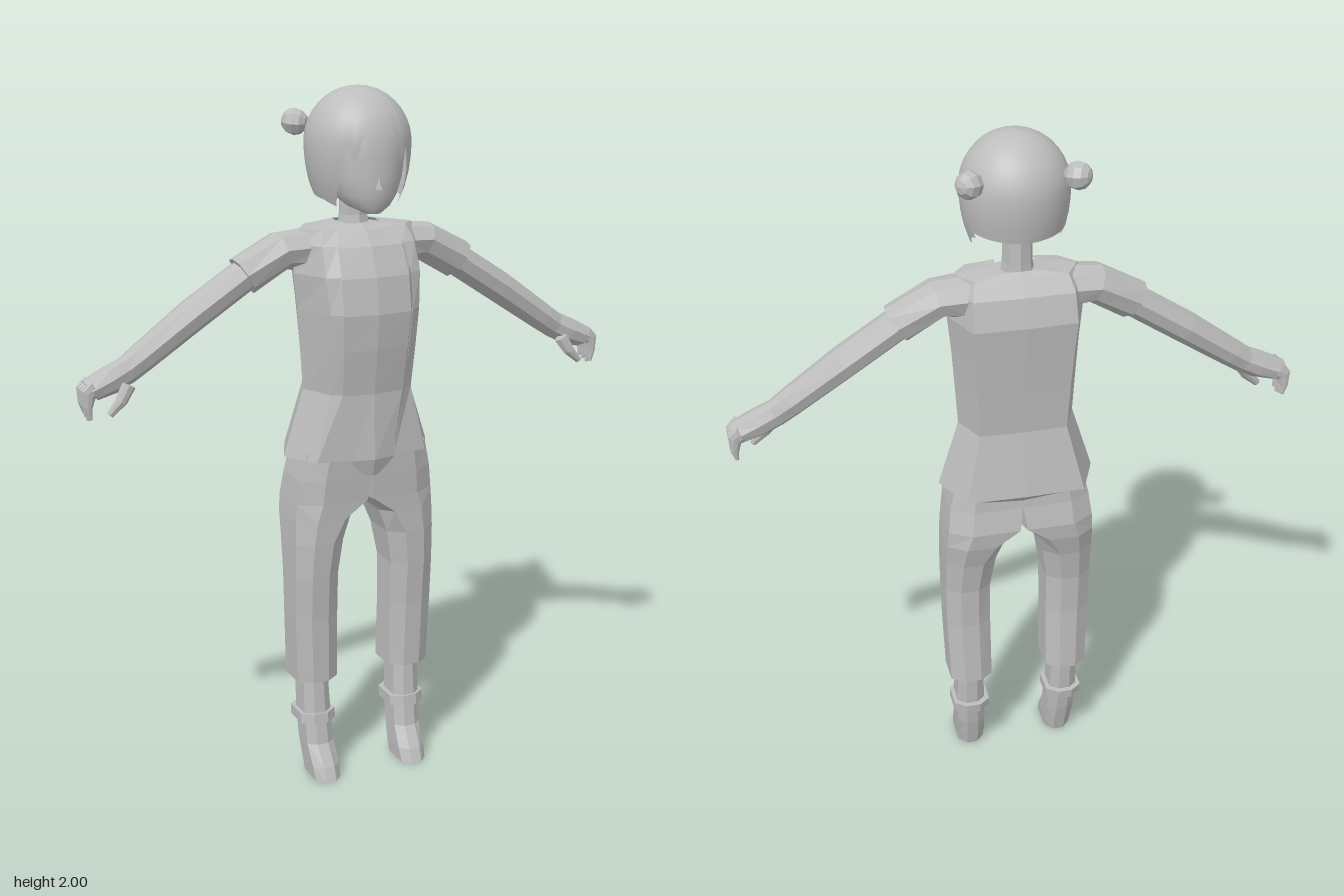
import * as THREE from 'three';

export function createModel() {
  const model = new THREE.Group();
  const grey = new THREE.MeshStandardMaterial({ color: 0xbdbdbd, side: THREE.DoubleSide });
  grey.name = 'plain grey';

  const add = (name, geometry, parent = model) => {
    const mesh = new THREE.Mesh(geometry, grey);
    mesh.name = name;
    parent.add(mesh);
    return mesh;
  };

  // Skin a list of equal-length point rings; faceted unless smooth.
  function loft(rings, { closed = true, caps = true, smooth = false } = {}) {
    const n = rings[0].length, pos = rings.flat(2), index = [];
    const spans = closed ? n : n - 1;
    for (let r = 0; r < rings.length - 1; r++) {
      for (let i = 0; i < spans; i++) {
        const a = r * n + i, b = r * n + (i + 1) % n;
        index.push(a, b + n, b, a, a + n, b + n);
      }
    }
    if (closed && caps) {
      const last = (rings.length - 1) * n;
      for (let i = 1; i < n - 1; i++) {
        index.push(0, i, i + 1, last, last + i + 1, last + i);
      }
    }
    const g = new THREE.BufferGeometry();
    g.setAttribute('position', new THREE.Float32BufferAttribute(pos, 3));
    g.setIndex(index);
    const out = smooth ? g : g.toNonIndexed();
    out.computeVertexNormals();
    return out;
  }

  // Mirror a half outline (front to back) into a whole one.
  const mirrorHalf = (half, y, open) => {
    const left = half.map(([x, z]) => [x, y, z]);
    const right = half.map(([x, z]) => [-x, y, z]).reverse();
    return open ? [...left, ...right.slice(1)] : [...left, ...right.slice(1, -1)];
  };

  // Jacket rows: y, front opening, half width, front z, back z
  const jacketRows = [
    [0.98, 0.06, 0.225, 0.115, -0.145], [1.17, 0.095, 0.165, 0.11, -0.11],
    [1.3, 0.1, 0.173, 0.13, -0.12], [1.4, 0.105, 0.18, 0.14, -0.13],
    [1.5, 0.105, 0.19, 0.125, -0.14], [1.58, 0.1, 0.185, 0.09, -0.12],
    [1.622, 0.08, 0.17, 0.05, -0.085], [1.635, 0.05, 0.06, 0.03, -0.07],
  ];
  add('jacket', loft(jacketRows.map(([y, e, w, zf, zb]) => mirrorHalf(
    [[e, zf - 0.003], [Math.max(e, 0.75 * w), zf * 0.82], [w, -0.01], [0.75 * w, zb * 0.97], [0, zb]],
    y, true)), { closed: false }));

  // Shirt under the open jacket
  const shirtRows = [[0.93, 0.06, 0.2, 0.1, -0.1], ...jacketRows];
  add('shirt', loft(shirtRows.map(([y, e, w, zf, zb]) => mirrorHalf(
    [[0, zf], [e, zf - 0.014], [0.72 * w, zf * 0.6], [0.85 * w, -0.01], [0.65 * w, zb * 0.8], [0, zb * 0.88]],
    y - 0.006, false))));

  // Horizontal eight-sided section between inner and outer x
  const band = (s, y, xi, xo, zf, zb, ci = 0.3) => {
    const d = xo - xi, zm = (zf + zb) / 2, k = 0.62;
    const mix = (z) => zm + (z - zm) * k;
    const ki = ci ? mix : (z) => z;
    return [
      [xo, mix(zf)], [xo - 0.3 * d, zf], [xi + ci * d, zf], [xi, ki(zf)],
      [xi, ki(zb)], [xi + ci * d, zb], [xo - 0.3 * d, zb], [xo, mix(zb)],
    ].map(([x, z]) => [s * x, y, z]);
  };

  // Arm section from a top and a bottom point, with its z range
  const slice = (s, [xt, yt, xb, yb, zf, zb]) => {
    const p = [[0, 0.5], [0.08, 0.83], [0.4, 1], [0.75, 0.9], [1, 0.5], [0.75, 0.1], [0.4, 0], [0.08, 0.17]];
    return p.map(([t, u]) => [s * (xt + (xb - xt) * t), yt + (yb - yt) * t, zb + (zf - zb) * u]);
  };
  const limb = (s, rows) => loft(rows.map((r) => slice(s, r)));

  for (const s of [1, -1]) {
    const side = s > 0 ? 'left' : 'right';

    // Trouser leg, joined to its mirror at x = 0 above the crotch
    add(side + 'TrouserLeg', loft([
      [1.0, 0, 0.185, 0.1, -0.1, 0], [0.92, 0, 0.203, 0.095, -0.105, 0],
      [0.85, 0, 0.212, 0.09, -0.118, 0.05], [0.8, 0.045, 0.216, 0.088, -0.112, 0.2],
      [0.73, 0.07, 0.218, 0.086, -0.092], [0.63, 0.086, 0.218, 0.08, -0.075],
      [0.5, 0.086, 0.217, 0.07, -0.07], [0.3, 0.085, 0.21, 0.065, -0.08],
    ].map((r) => band(s, ...r))));

    // Shin and boot
    add(side + 'Boot', loft([
      [0.34, 0.11, 0.185, 0.04, -0.06], [0.2, 0.105, 0.188, 0.052, -0.052],
      [0.1, 0.102, 0.186, 0.066, -0.036], [0.04, 0.1, 0.183, 0.105, -0.022],
      [0, 0.102, 0.18, 0.122, -0.012],
    ].map((r) => band(s, ...r))));
    add(side + 'AnkleCuff', loft([
      [0.195, 0.092, 0.2, 0.058, -0.068], [0.165, 0.092, 0.2, 0.062, -0.064],
    ].map((r) => band(s, ...r))));

    // Sleeve, bare arm and hand
    add(side + 'Sleeve', limb(s, [
      [0.1, 1.625, 0.15, 1.5, 0.045, -0.1], [0.235, 1.612, 0.2, 1.508, 0.038, -0.095],
      [0.36, 1.548, 0.3, 1.45, 0.028, -0.085],
    ]));
    add(side + 'Arm', limb(s, [
      [0.34, 1.545, 0.29, 1.468, 0.02, -0.08], [0.5, 1.443, 0.45, 1.365, 0.02, -0.082],
      [0.645, 1.337, 0.6, 1.268, 0.014, -0.07], [0.69, 1.303, 0.65, 1.237, 0.008, -0.062],
    ]));
    const hand = new THREE.Group();
    hand.name = side + 'Hand';
    model.add(hand);
    add('palm', limb(s, [
      [0.68, 1.31, 0.64, 1.243, 0.008, -0.062], [0.73, 1.287, 0.695, 1.215, 0.014, -0.065],
      [0.79, 1.256, 0.75, 1.2, 0.014, -0.066],
    ]), hand);
    for (let i = 0; i < 4; i++) {
      const z = 0.012 - i * 0.02, tip = 1.15 + Math.abs(i - 1) * 0.006;
      add('finger', limb(s, [
        [0.775, 1.262, 0.755, 1.215, z, z - 0.018], [0.8, 1.236, 0.766, 1.212, z, z - 0.018],
        [0.797, 1.192, 0.774, 1.188, z - 0.001, z - 0.016], [0.786, tip, 0.776, tip, z - 0.004, z - 0.013],
      ]), hand);
    }
    add('thumb', limb(s, [
      [0.69, 1.25, 0.655, 1.23, 0.02, -0.012], [0.715, 1.205, 0.683, 1.192, 0.026, 0],
      [0.74, 1.172, 0.725, 1.16, 0.024, 0.008],
    ]), hand);

    // Hair bun, pole turned outward
    const bun = add(side + 'HairBun', new THREE.SphereGeometry(0.038, 8, 6).toNonIndexed());
    bun.geometry.computeVertexNormals();
    bun.position.set(s * 0.142, 1.9, -0.102);
    bun.quaternion.setFromUnitVectors(new THREE.Vector3(0, 1, 0), new THREE.Vector3(s * 0.8, 0.1, -0.6).normalize());
  }

  // Neck leaning into the head
  const oval = (n, y, w, zf, zb) => Array.from({ length: n }, (_, i) => {
    const a = (i / n) * Math.PI * 2;
    return [w * Math.sin(a), y, (zf + zb) / 2 + (zf - zb) / 2 * Math.cos(a)];
  });
  add('neck', loft([[1.57, 0.055, 0.025, -0.075], [1.65, 0.042, 0.012, -0.07], [1.76, 0.04, 0.015, -0.068]]
    .map((r) => oval(8, ...r))));

  // Head with a pointed chin
  add('head', loft([
    [1.667, 0.022, 0.118, 0.075], [1.685, 0.058, 0.128, 0.01], [1.715, 0.088, 0.136, -0.05],
    [1.76, 0.112, 0.138, -0.1], [1.82, 0.128, 0.134, -0.128], [1.88, 0.13, 0.128, -0.13], [1.94, 0.1, 0.1, -0.1],
  ].map((r) => oval(20, ...r)), { smooth: true }));
  const nose = add('nose', new THREE.ConeGeometry(0.013, 0.035, 4));
  nose.position.set(0, 1.752, 0.138);

  // Hair cap: hem height against angle from the front
  const hem = [[0, 1.885], [20, 1.87], [28, 1.8], [36, 1.84], [44, 1.78], [56, 1.685],
    [76, 1.702], [100, 1.71], [112, 1.752], [140, 1.745], [180, 1.74]];
  const hemAt = (deg) => {
    const k = Math.max(1, hem.findIndex(([d]) => d >= deg));
    const [d0, y0] = hem[k - 1], [d1, y1] = hem[k];
    return y0 + (y1 - y0) * (deg - d0) / (d1 - d0);
  };
  const rows = 12, cols = 90, cy = 1.85;
  const hair = [];
  for (let j = 0; j <= rows; j++) {
    hair.push(Array.from({ length: cols }, (_, i) => {
      const deg = i * 360 / cols, a = deg * Math.PI / 180;
      const low = hemAt(deg > 180 ? 360 - deg : deg) - cy;
      const t = Math.max(j / rows, 0.001) * Math.acos(low / (low > 0 ? 0.15 : 0.25));
      const y = cy + Math.cos(t) * (Math.cos(t) > 0 ? 0.15 : 0.25);
      return [0.147 * Math.sin(t) * Math.sin(a), y, 0.149 * Math.sin(t) * Math.cos(a)];
    }));
  }
  add('hair', loft(hair, { caps: false, smooth: true }));

  return model;
}
